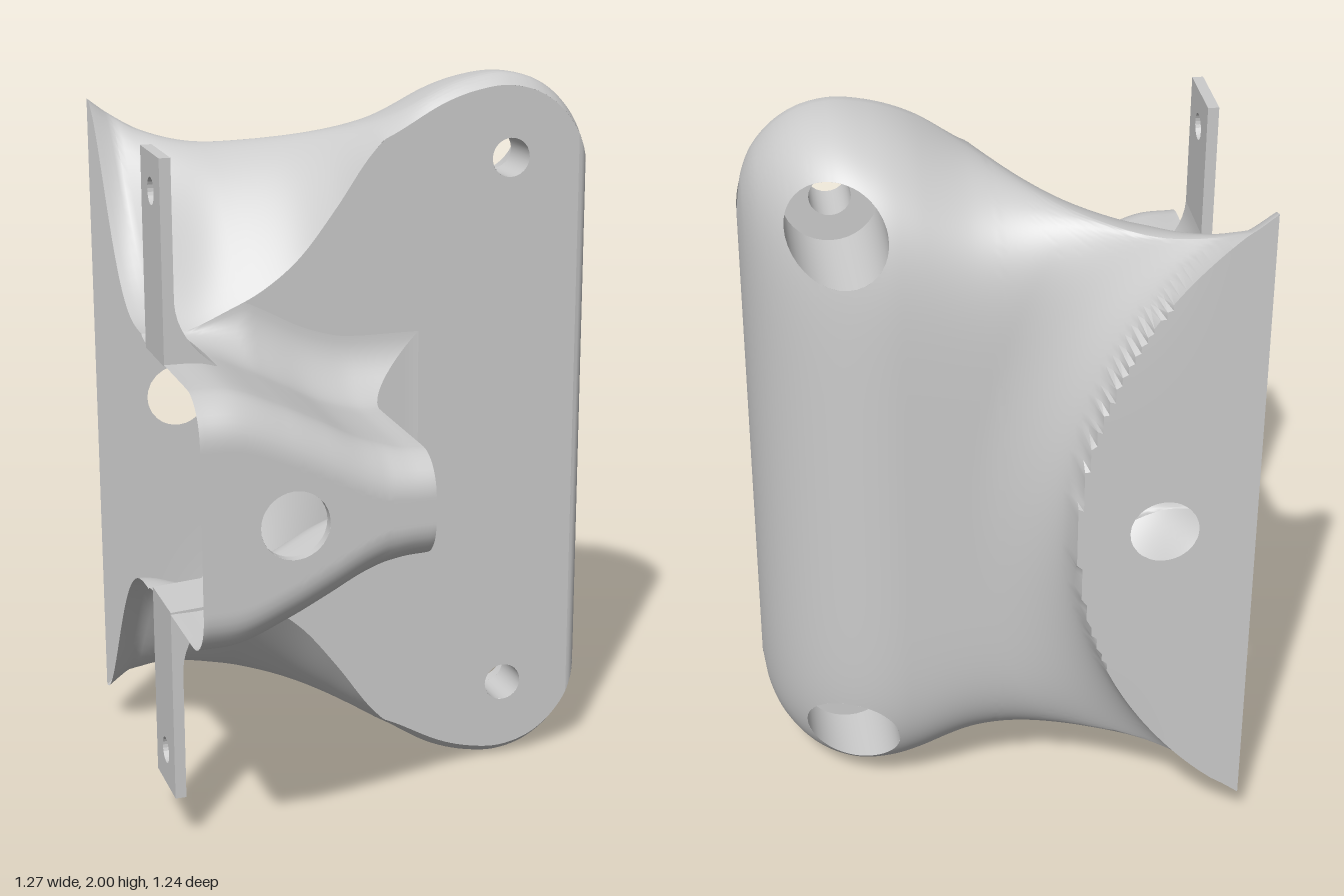
import * as THREE from 'three';
import { toCreasedNormals } from 'three/addons/utils/BufferGeometryUtils.js';

const skin = new THREE.MeshStandardMaterial({ color: 0xcccccc, side: THREE.DoubleSide });
const mix = THREE.MathUtils.lerp;

// Smooth height curve through [x, y] points
function curve(pts) {
  const slope = i => {
    const a = pts[Math.max(i - 1, 0)], b = pts[Math.min(i + 1, pts.length - 1)];
    return (b[1] - a[1]) / (b[0] - a[0]);
  };
  return x => {
    let i = 0;
    while (i < pts.length - 2 && x > pts[i + 1][0]) i++;
    const [x0, y0] = pts[i], [x1, y1] = pts[i + 1], w = x1 - x0;
    const t = THREE.MathUtils.clamp((x - x0) / w, 0, 1), t2 = t * t, t3 = t2 * t;
    return y0 * (2 * t3 - 3 * t2 + 1) + slope(i) * w * (t3 - 2 * t2 + t)
      + y1 * (3 * t2 - 2 * t3) + slope(i + 1) * w * (t3 - t2);
  };
}

// Half heights, measured from the middle plane: body ridge, front plate edge, clip sheet
const ridge = curve([[-0.64, 0.89], [-0.58, 0.845], [-0.5, 0.803], [-0.38, 0.778], [-0.25, 0.788], [-0.1, 0.82],
  [0.05, 0.875], [0.2, 0.955], [0.3, 0.988], [0.4, 0.997], [0.5, 0.965], [0.58, 0.89], [0.62, 0.8], [0.635, 0.7]]);
const leftEdge = curve([[-0.64, 0.36], [-0.53, 0.355], [-0.4, 0.405], [-0.3, 0.455], [-0.2, 0.535], [-0.1, 0.66],
  [0, 0.8], [0.1, 0.89], [0.2, 0.925]]);
const plateEdge = x => Math.min(x < 0.2 ? leftEdge(x) : 9, ridge(x) - 0.03);
const clipHeight = curve([[-0.64, 0.34], [-0.53, 0.333], [-0.4, 0.28], [-0.3, 0.23], [-0.2, 0.178], [-0.1, 0.146], [-0.03, 0.14]]);
const FILLET = 0.165;
const openingEdge = x => Math.min(clipHeight(Math.min(x, -0.03)) + FILLET, plateEdge(x));

// Back surface: flat round-sided pad, concave round fillet, then a rounded back
function padDepth(x, y) {
  const d = Math.hypot(x + 1.25, y) - 1.08;
  const k = 1 - THREE.MathUtils.clamp(d / 0.25, 0, 1);
  const fall = x > 0.25 ? Math.sqrt(Math.max(0, 1 - ((x - 0.25) / 0.385) ** 2)) : 1;
  return 0.05 + (0.405 + 0.165 * (1 - Math.sqrt(1 - k * k))) * fall;
}
function backZ(x, y) {
  const T = ridge(x), a = THREE.MathUtils.smoothstep(x, -0.55, 0.18);
  const rim = mix(padDepth(x, T), 0.05, a);
  const round = mix(1, Math.sqrt(Math.max(0, 1 - Math.min(1, Math.abs(y) / T) ** 7)), a);
  return -(rim + (padDepth(x, y) - rim) * round);
}

// Grid surface with round holes cut along z: inner vertices move out to the rim
function surface(nu, nv, fn, holes = [], crease = 0.7) {
  const pos = [], idx = [], inside = [];
  for (let i = 0; i <= nu; i++) for (let j = 0; j <= nv; j++) {
    const p = fn(i / nu, j / nv);
    let cut = false;
    for (const h of holes) {
      const dx = p.x - h.x, dy = p.y - h.y, d = Math.hypot(dx, dy);
      if (d >= h.r || !h.test(p.z)) continue;
      cut = true;
      const k = h.r / Math.max(d, 1e-5);
      p.set(h.x + dx * k, h.y + dy * k, p.z);
      if (h.z) p.z = h.z(p.x, p.y);
    }
    inside.push(cut);
    pos.push(p.x, p.y, p.z);
  }
  const tri = (a, b, c) => { if (!(inside[a] && inside[b] && inside[c])) idx.push(a, b, c); };
  for (let i = 0; i < nu; i++) for (let j = 0; j < nv; j++) {
    const a = i * (nv + 1) + j, b = a + nv + 1;
    tri(a, b, b + 1);
    tri(a, b + 1, a + 1);
  }
  const g = new THREE.BufferGeometry();
  g.setAttribute('position', new THREE.Float32BufferAttribute(pos, 3));
  g.setIndex(idx);
  return toCreasedNormals(g, crease);
}

// Body point: u runs along x, v runs around the section from bottom front to top front
const BACK = 0.74;
function bodyPoint(u, v) {
  const x = -0.64 + 1.275 * Math.sin(u * Math.PI / 2), T = ridge(x);
  const s = Math.sign(v - 0.5), m = Math.abs(2 * v - 1);
  if (m <= BACK) {
    let y = T * Math.sin(m / BACK * Math.PI / 2);
    const arc = Math.sqrt(Math.max(0, 1.08 ** 2 - (x + 1.25) ** 2));
    if (arc > 0.03 && Math.abs(y - arc) < 0.012) y = Math.min(arc, T);
    return new THREE.Vector3(x, s * y, backZ(x, y));
  }
  const w = 1 - (m - BACK) / (1 - BACK);
  const bend = mix(THREE.MathUtils.smoothstep(w ** 1.5, 0, 1), Math.sin(w * Math.PI / 2), THREE.MathUtils.smoothstep(x, -0.64, -0.35));
  const zf = x > 0.6 ? -0.05 * (1 - Math.sqrt(Math.max(0, 1 - ((x - 0.6) / 0.035) ** 2))) : 0;
  return new THREE.Vector3(x, s * mix(plateEdge(x), T, bend), mix(zf, backZ(x, T), w));
}

// Clip point: u along x, v around the U from lower root to upper root
function clipPoint(u, v) {
  const s = Math.sign(v - 0.5), m = Math.abs(2 * v - 1);
  let z, flare = 0, drop = 0;
  const h0 = clipHeight(-0.64 + 0.61 * u), r = Math.min(0.12, h0 * 0.75);
  if (m < 0.4) {
    return new THREE.Vector3(-0.64 + 0.61 * u, s * (h0 - r) * m / 0.4, 0.615);
  } else if (m < 0.6) {
    const t = (m - 0.4) / 0.2 * Math.PI / 2;
    z = 0.615 - r * (1 - Math.cos(t));
    drop = r * (1 - Math.sin(t));
  } else if (m < 0.7) {
    z = mix(0.615 - r, FILLET, (m - 0.6) / 0.1);
  } else {
    const t = (m - 0.7) / 0.3 * Math.PI / 2;
    z = FILLET * (1 - Math.sin(t));
    flare = FILLET * (1 - Math.cos(t));
  }
  const x = -0.64 + u * (0.61 + flare), h = clipHeight(Math.min(x, -0.03));
  const reach = (openingEdge(x) - h) / FILLET;
  return new THREE.Vector3(x, s * (h - drop + flare * reach), z);
}

export function createModel() {
  const model = new THREE.Group(), parts = new THREE.Group();
  parts.name = 'bracket';
  parts.position.y = 1;
  model.add(parts);
  const add = (name, geo) => {
    const m = new THREE.Mesh(geo, skin);
    m.name = name;
    parts.add(m);
  };
  const BX = 0.4, BY = 0.77, BORE = 0.125, BOLT = 0.054, SEAT = -0.14;

  // Flared shell with the pad hole and two bolt bores
  const holes = [{ x: -0.4, y: 0, r: 0.09, test: z => z < -0.5 }];
  for (const s of [-1, 1]) holes.push({ x: BX, y: s * BY, r: BORE, test: z => z < -0.1, z: backZ });
  add('bodyShell', surface(130, 170, bodyPoint, holes));

  // Rounded right rim joining the shell to the front plate
  add('plateRim', surface(6, 2, (u, v) => {
    const t = u * Math.PI / 2;
    return new THREE.Vector3(0.6 + 0.035 * Math.sin(t), (2 * v - 1) * mix(plateEdge(0.6), 0.7, u), -0.05 * (1 - Math.cos(t)));
  }));

  // Flat front plate, notched where the clip opens into it
  const top = [], notch = [];
  for (let i = 0; i <= 60; i++) {
    const x = mix(-0.36, 0.6, i / 60), xn = mix(-0.36, 0.135, i / 60);
    top.push(new THREE.Vector2(x, plateEdge(x)));
    notch.push(new THREE.Vector2(xn, openingEdge(xn) - 0.0005));
  }
  const flip = list => list.map(p => new THREE.Vector2(p.x, -p.y));
  const plate = new THREE.Shape([...top, ...flip(top).reverse(), ...flip(notch), ...notch.slice().reverse()]);
  for (const s of [-1, 1]) plate.holes.push(new THREE.Path().absarc(BX, s * BY, BOLT, 0, Math.PI * 2, true));
  add('frontPlate', new THREE.ShapeGeometry(plate, 16));

  // Open clip sheet with its front hole and the short lip inside it
  add('clip', surface(44, 90, clipPoint, [{ x: -0.4, y: 0, r: 0.09, test: z => z > 0.6 }]));
  const lip = new THREE.CylinderGeometry(0.09, 0.09, 0.028, 32, 1, true);
  add('clipHoleLip', lip.rotateX(Math.PI / 2).translate(-0.4, 0, 0.601));

  for (const s of [-1, 1]) {
    const side = s > 0 ? 'upper' : 'lower';

    // Bolt bore: wide wall, seat ring and narrow passage
    const ring = (a, r, z) => {
      const x = BX + r * Math.cos(a), y = s * BY + r * Math.sin(a);
      return new THREE.Vector3(x, y, z ?? backZ(x, y));
    };
    add(side + 'BoreWall', surface(36, 1, (u, v) => ring(u * Math.PI * 2, BORE, v ? SEAT : undefined)));
    add(side + 'BoreSeat', surface(36, 1, (u, v) => ring(u * Math.PI * 2, v ? BOLT : BORE, SEAT)));
    add(side + 'BoltHole', surface(24, 1, (u, v) => ring(u * Math.PI * 2, BOLT, v ? 0 : SEAT)));

    // Thin side tab with a pin hole
    const tab = new THREE.Shape([[-0.255, 0.5], [-0.05, 0.5], [-0.05, 0.87], [-0.255, 0.87]].map(p => new THREE.Vector2(p[0], s * p[1])));
    tab.holes.push(new THREE.Path().absarc(-0.155, s * 0.77, 0.036, 0, Math.PI * 2, true));
    const tabGeo = new THREE.ExtrudeGeometry(tab, { depth: 0.03, bevelEnabled: false, curveSegments: 12 });
    add(side + 'Tab', tabGeo.rotateY(Math.PI / 2).translate(-0.64, 0, 0));

    // Curved tab foot blending into the clip
    const foot = new THREE.Shape();
    foot.moveTo(-0.64, s * 0.335);
    foot.lineTo(-0.64, s * 0.5);
    foot.lineTo(-0.61, s * 0.5);
    foot.quadraticCurveTo(-0.605, s * 0.4, -0.5, s * 0.325);
    const footGeo = new THREE.ExtrudeGeometry(foot, { depth: 0.205, bevelEnabled: false, curveSegments: 8 });
    add(side + 'TabFoot', toCreasedNormals(footGeo.translate(0, 0, 0.05), 0.6));
  }
  return model;
}
